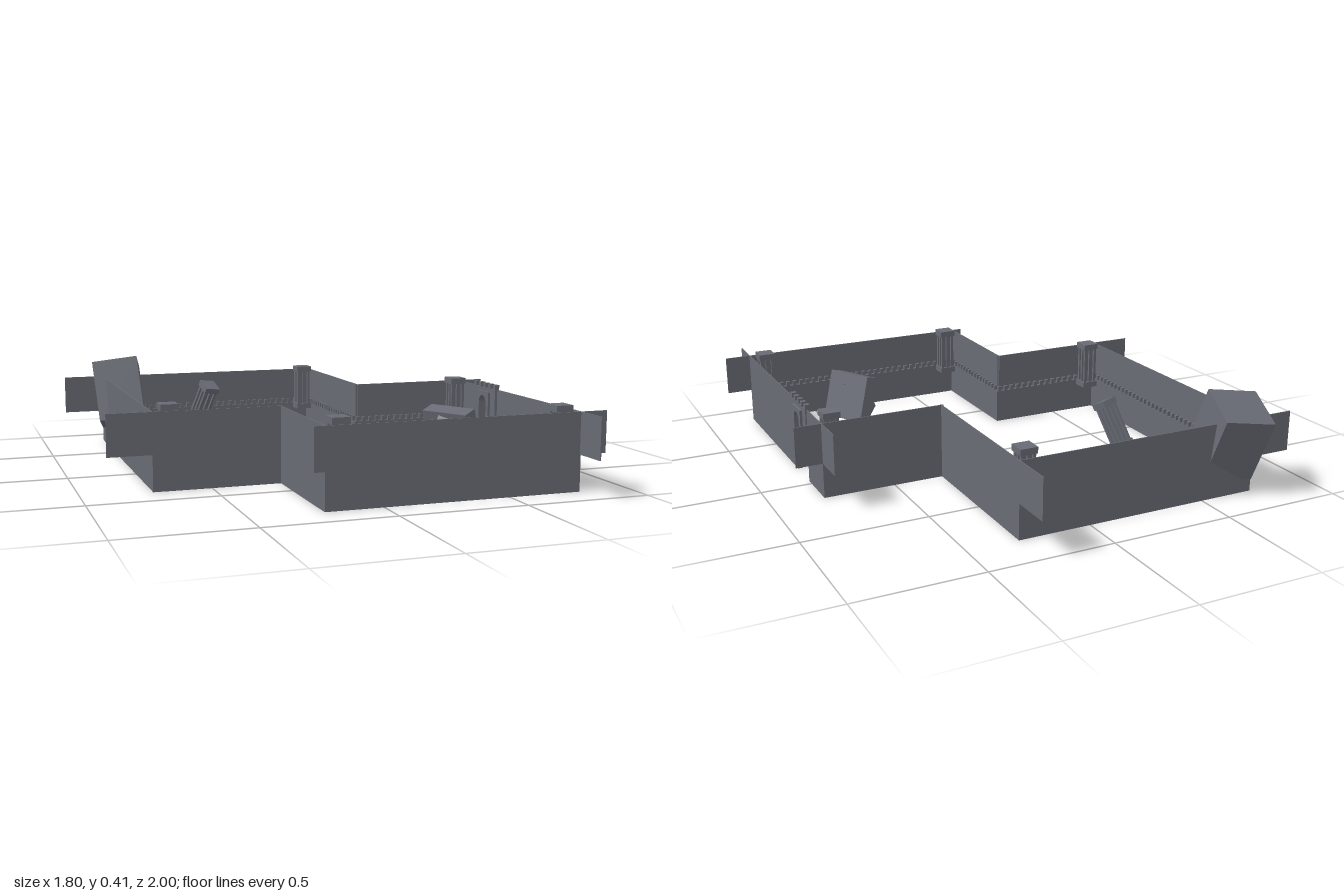
import * as THREE from 'three';
import { mergeGeometries } from 'three/addons/utils/BufferGeometryUtils.js';

const stone = new THREE.MeshStandardMaterial({ color: 0x686b74 });
stone.name = 'stone grey';

const T = 0.02;        // wall thickness
const WALL_H = 0.142;  // height of the lower wall
const TOP = 0.305;     // height of the thin upper panels

function box(w, h, d, x = 0, y = 0, z = 0) {
  return new THREE.BoxGeometry(w, h, d).translate(x, y, z);
}

function part(name, geometries) {
  const mesh = new THREE.Mesh(mergeGeometries(geometries), stone);
  mesh.name = name;
  return mesh;
}

// Straight wall run: lower wall, battlements on its top, thin panel on its outer face.
// axis: running direction, c: fixed coordinate, out: outward sign, a..b: wall, p..q: panel
function wallRun({ axis, c, out, a, b, p, q }) {
  const place = (len, h, d, along, y, across) =>
    axis === 'x' ? box(len, h, d, along, y, across) : box(d, h, len, across, y, along);
  const group = new THREE.Group();
  group.name = 'wallRun';
  group.add(part('lowerWall', [place(b - a, WALL_H, T, (a + b) / 2, WALL_H / 2, c)]));
  group.add(part('upperPanel', [
    place(q - p, TOP - WALL_H, 0.004, (p + q) / 2, (TOP + WALL_H) / 2, c + out * (T / 2 - 0.002))]));
  const teeth = [];
  const n = Math.max(1, Math.floor((b - a) / 0.03));
  for (let i = 0; i < n; i++) {
    const s = a + (i + 0.5) * (b - a) / n;
    teeth.push(place(0.015, 0.02, 0.014, s, WALL_H + 0.01, c - out * 0.003));
  }
  group.add(part('battlements', teeth));
  return group;
}

// Slotted column, standing on its own origin
function column(name) {
  const H = 0.205, W = 0.07;
  const pieces = [
    box(W, 0.025, W, 0, 0.0125, 0),
    box(W, 0.025, W, 0, H - 0.0125, 0),
    box(0.04, H - 0.05, 0.04, 0, H / 2, 0),
  ];
  for (const i of [-1, 0, 1]) {
    for (const j of [-1, 0, 1]) {
      if (i || j) pieces.push(box(0.012, H - 0.05, 0.012, i * 0.024, H / 2, j * 0.024));
    }
  }
  return part(name, pieces);
}

// Orient an object so its +y axis runs from one point to another
function stand(object, from, to) {
  const dir = new THREE.Vector3(...to).sub(new THREE.Vector3(...from)).normalize();
  object.position.set(...from);
  object.quaternion.setFromUnitVectors(new THREE.Vector3(0, 1, 0), dir);
  return object;
}

// Upright slab with a round-topped doorway, facing x
function archSlab(name, width, y0, y1, depth) {
  const s = new THREE.Shape();
  const h = width / 2, r = 0.031, spring = 0.24;
  s.moveTo(-h, y0);
  s.lineTo(-r, y0);
  s.lineTo(-r, spring);
  s.absarc(0, spring, r, Math.PI, 0, true);
  s.lineTo(r, y0);
  s.lineTo(h, y0);
  s.lineTo(h, y1);
  s.lineTo(-h, y1);
  s.closePath();
  const g = new THREE.ExtrudeGeometry(s, { depth, bevelEnabled: false, curveSegments: 10 });
  g.translate(0, 0, -depth / 2).rotateY(Math.PI / 2);
  const mesh = new THREE.Mesh(g, stone);
  mesh.name = name;
  return mesh;
}

export function createModel() {
  const model = new THREE.Group();
  model.name = 'ruinedFort';

  // Walls around the stepped courtyard
  const e = T / 2;
  const runs = [
    { axis: 'x', c: 0.855, out: 1, a: -0.215 - e, b: 0.783 + e, p: -0.265, q: 0.9 },
    { axis: 'z', c: 0.783, out: 1, a: 0.18, b: 0.855 - e, p: 0.18, q: 1 },
    { axis: 'z', c: 0.783, out: 1, a: -0.15 + e, b: 0.03, p: -0.3, q: 0.03 },
    { axis: 'x', c: -0.15, out: -1, a: 0.285 - e, b: 0.783 + e, p: 0.285, q: 0.9 },
    { axis: 'z', c: 0.285, out: 1, a: -0.82 + e, b: -0.15 - e, p: -1, q: -0.15 },
    { axis: 'x', c: -0.82, out: -1, a: -0.718 - e, b: 0.285 + e, p: -0.9, q: 0.285 + e },
    { axis: 'z', c: -0.718, out: -1, a: -0.82 + e, b: 0.35 - e, p: -0.83, q: 0.35 + e },
    { axis: 'x', c: 0.35, out: 1, a: -0.718 - e, b: -0.215 + e, p: -0.9, q: -0.215 },
    { axis: 'z', c: -0.215, out: -1, a: 0.35 + e, b: 0.855 - e, p: 0.35, q: 0.855 + e },
  ];
  for (const run of runs) model.add(wallRun(run));

  // Gate between the two right-hand wall runs
  const gate = new THREE.Group();
  gate.name = 'gate';
  gate.add(archSlab('gateWall', 0.19, WALL_H, TOP, T));
  gate.add(archSlab('gateFrame', 0.105, WALL_H, 0.29, 0.04));
  const merlons = [];
  for (let i = -2; i <= 2; i++) merlons.push(box(T, 0.02, 0.02, 0, TOP + 0.01, i * 0.0425));
  gate.add(part('gateMerlons', merlons));
  gate.position.set(0.788, 0, 0.115);
  model.add(gate);

  // Corner columns
  const corners = [[0.235, -0.755], [0.735, -0.085], [0.735, 0.805], [-0.155, 0.805], [-0.655, 0.3]];
  for (const [x, z] of corners) {
    const c = column('cornerColumn');
    c.position.set(x, 0.122, z);
    model.add(c);
  }

  // Tilted tower block at the back corner
  const tower = part('tiltedTower', [box(0.204, 0.28, 0.204, 0, -0.14, 0)]);
  const u = new THREE.Vector3(0.196, 0.026, 0.039).normalize();
  const n = new THREE.Vector3(-0.049, 0.928, -0.371).normalize();
  const v = new THREE.Vector3().crossVectors(u, n).normalize();
  n.crossVectors(v, u);
  tower.quaternion.setFromRotationMatrix(new THREE.Matrix4().makeBasis(u, n, v));
  tower.position.set(-0.661, 0.358, -0.829);
  model.add(tower);

  // Leaning column in the back courtyard
  const leaning = stand(column('leaningColumn'), [-0.365, 0.12, -0.475], [-0.315, 0.31, -0.385]);
  leaning.rotateY(0.25);
  model.add(leaning);

  // Fallen slab propped on a strut in the front courtyard
  const slab = part('fallenSlab', [box(0.065, 0.2, 0.205)]);
  slab.rotation.set(0, 0.51, 0.3, 'YXZ');
  slab.position.set(0.455, 0.18, 0.465);
  model.add(slab);
  const strut = part('slabStrut', [box(0.065, 0.2, 0.065, 0, 0.1, 0)]);
  stand(strut, [0.36, 0.08, 0.53], [0.44, 0.25, 0.47]);
  strut.rotateY(0.7);
  model.add(strut);

  return model;
}
